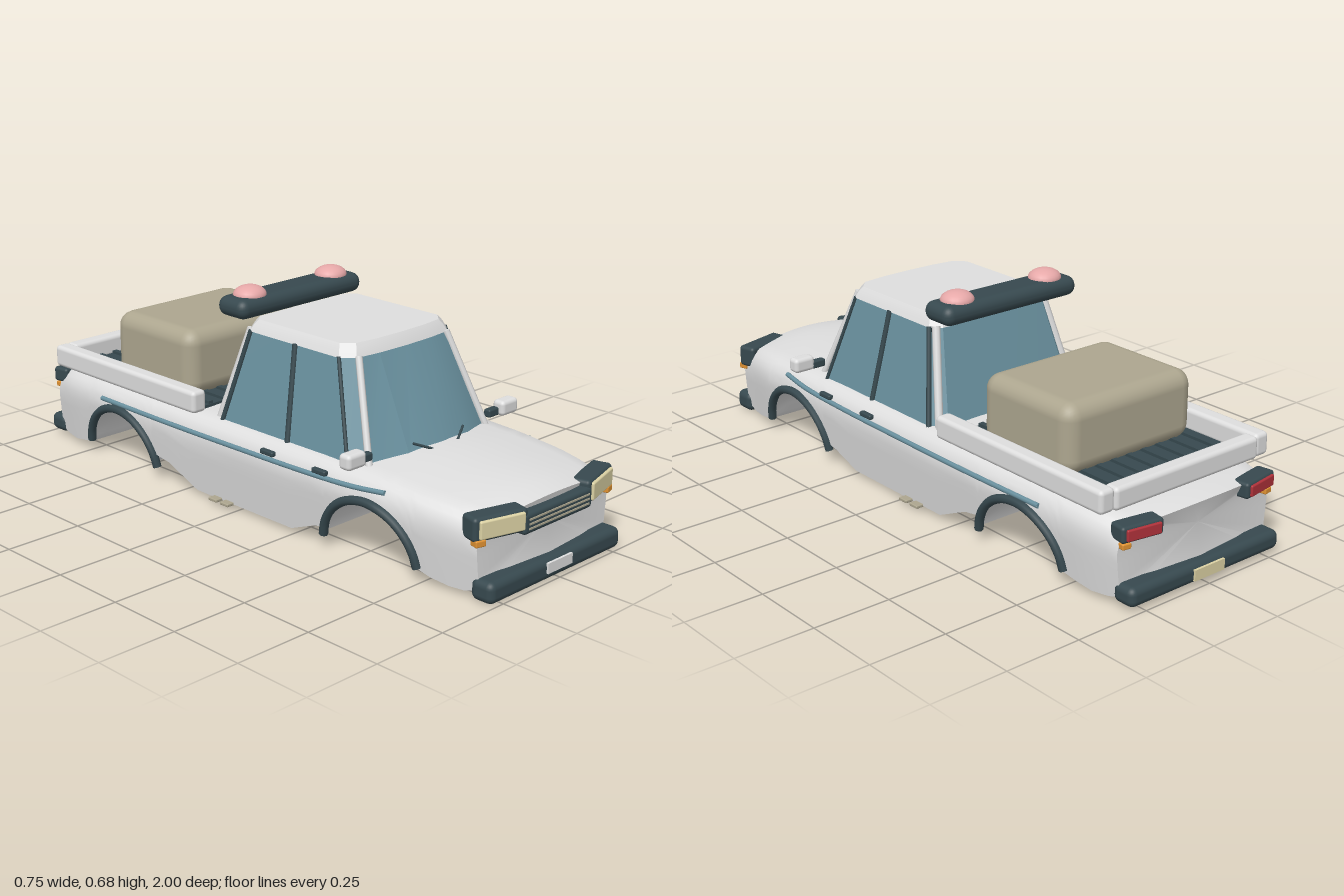
import * as THREE from 'three';
import { toCreasedNormals } from 'three/addons/utils/BufferGeometryUtils.js';
import { RoundedBoxGeometry } from 'three/addons/geometries/RoundedBoxGeometry.js';

const mat = (name, color, side = THREE.FrontSide) => {
  const m = new THREE.MeshStandardMaterial({ color, side });
  m.name = name;
  return m;
};

// Linear interpolation in a table of [key, value] pairs with rising keys
function lookup(table, k) {
  if (k <= table[0][0]) return table[0][1];
  for (let i = 1; i < table.length; i++) {
    const [k0, v0] = table[i - 1], [k1, v1] = table[i];
    if (k <= k1) return v0 + (v1 - v0) * (k - k0) / (k1 - k0);
  }
  return table[table.length - 1][1];
}

// Closes a half outline across x = 0
const mirrorRing = (half) => [...half, ...half.slice(1, -1).reverse().map(([x, y, z]) => [-x, y, z])];

// Skins closed rings that run counter-clockwise about the travel direction
function loft(rings, crease = 0.6) {
  const n = rings[0].length, pos = rings.flat(2), index = [];
  for (let i = 0; i < rings.length - 1; i++) {
    for (let j = 0; j < n; j++) {
      const a = i * n + j, b = i * n + (j + 1) % n;
      index.push(a, b, b + n, a, b + n, a + n);
    }
  }
  [0, rings.length - 1].forEach((r, end) => {
    const c = pos.length / 3;
    for (let k = 0; k < 3; k++) pos.push(rings[r].reduce((s, p) => s + p[k], 0) / n);
    for (let j = 0; j < n; j++) {
      const a = r * n + j, b = r * n + (j + 1) % n;
      index.push(c, end ? a : b, end ? b : a);
    }
  });
  const g = new THREE.BufferGeometry();
  g.setAttribute('position', new THREE.Float32BufferAttribute(pos, 3));
  g.setIndex(index);
  return toCreasedNormals(g, crease);
}

// Body shape rules: shoulder height, crown, plan width and side section
const TOP = [[-0.965, 0.232], [-0.9, 0.25], [-0.7, 0.262], [-0.2, 0.268], [0.35, 0.268], [0.6, 0.261], [0.8, 0.25], [0.9, 0.24], [0.965, 0.222]];
const CROWN = [[-0.965, 0.012], [-0.8, 0.008], [0.2, 0.006], [0.5, 0.025], [0.965, 0.025]];
const WIDTH = [[-0.965, 0.88], [-0.85, 0.94], [-0.65, 0.985], [-0.4, 1], [0.4, 1], [0.6, 0.985], [0.75, 0.95], [0.88, 0.89], [0.965, 0.85]];
const SECTION = [[0, 0.297], [0.012, 0.318], [0.035, 0.335], [0.07, 0.344], [0.12, 0.339], [0.25, 0.323]];
const sideX = (z, y) => lookup(SECTION, lookup(TOP, z) - y) * lookup(WIDTH, z);
const ARCH_Z = 0.56, ARCH_Y = 0.02, ARCH_R = 0.172;

function bodyGeometry() {
  const arch = (zc) => Array.from({ length: 15 }, (_, i) => {
    const a = Math.PI * (0.07 + 0.86 * i / 14);
    return [zc - ARCH_R * Math.cos(a), ARCH_Y + ARCH_R * Math.sin(a)];
  });
  // Lower edge from back to front
  const lower = [[-0.965, 0.03], [-0.92, 0.018], [-0.85, 0.015], [-0.78, 0.025], [-0.738, 0.035], ...arch(-ARCH_Z),
    [-0.38, 0.085], [-0.32, 0.075], [-0.19, 0.015], [0, 0.015], [0.24, 0.015], [0.34, 0.055], [0.38, 0.065],
    ...arch(ARCH_Z), [0.738, 0.04], [0.78, 0.025], [0.85, 0.015], [0.91, 0.015], [0.965, 0.03]];
  return loft(lower.map(([z, b]) => {
    const t = lookup(TOP, z), crown = lookup(CROWN, z), edge = sideX(z, t);
    const half = [[0, b], [sideX(z, b) * 0.8, b]];
    for (let k = 0; k <= 9; k++) {
      const y = b + (t - b) * (1 - (1 - k / 9) ** 1.7);
      half.push([sideX(z, y), y]);
    }
    for (let k = 1; k <= 6; k++) half.push([edge * (1 - k / 6), t + crown * Math.sin(k * Math.PI / 12)]);
    // Bow both ends
    const bow = 0.35 * Math.max(0, (Math.abs(z) - 0.8) / 0.165) * Math.sign(z);
    return mirrorRing(half.map(([x, y]) => [x, y, z - bow * x * x]));
  }));
}

export function createModel() {
  const white = mat('white paint', 0xdedede), dark = mat('dark trim', 0x37494f);
  const glass = mat('blue glass', 0x6a919f), cream = mat('cream lens', 0xdcd2a4);
  const tan = mat('tan cargo', 0xada68f), red = mat('red lens', 0xb0323a);
  const orange = mat('orange lens', 0xe09232), pink = mat('pink lamp', 0xe6a8a8);

  const model = new THREE.Group();
  const add = (name, geo, m, x = 0, y = 0, z = 0, ry = 0) => {
    const mesh = new THREE.Mesh(geo, m);
    mesh.name = name;
    mesh.position.set(x, y, z);
    mesh.rotation.y = ry;
    model.add(mesh);
    return mesh;
  };
  const box = (name, m, [w, h, d], x, y, z, r = 0.01, ry = 0) =>
    add(name, r ? new RoundedBoxGeometry(w, h, d, 3, r) : new THREE.BoxGeometry(w, h, d), m, x, y, z, ry);
  const tube = (name, m, pts, r) => {
    const v = pts.map((p) => new THREE.Vector3(...p));
    const curve = v.length === 2 ? new THREE.LineCurve3(...v) : new THREE.CatmullRomCurve3(v);
    add(name, new THREE.TubeGeometry(curve, v.length === 2 ? 1 : 32, r, 8), m);
    // End discs
    [0, 1].forEach((u) => {
      const disc = add(name + 'End', new THREE.CircleGeometry(r, 8), m, ...curve.getPoint(u).toArray());
      const dir = curve.getTangent(u).multiplyScalar(u ? 1 : -1);
      disc.quaternion.setFromUnitVectors(new THREE.Vector3(0, 0, 1), dir);
    });
  };

  add('body', bodyGeometry(), white);

  // Cab glass and roof share one plan outline
  const base = [[0, 0.56], [0.13, 0.545], [0.25, 0.495], [0.288, 0.44], [0.292, -0.1], [0.25, -0.145], [0, -0.15]];
  const head = [[0, 0.395], [0.11, 0.392], [0.195, 0.382], [0.231, 0.345], [0.231, -0.03], [0.2, -0.058], [0, -0.06]];
  const ring = (pts, y, s = 1) => mirrorRing(pts.map(([x, z]) => [x * s, y, 0.165 + (z - 0.165) * s]));
  add('cabGlass', loft([ring(base, 0.258), ring(head, 0.557)], 0.3), glass);
  add('roof', loft([ring(head, 0.554, 1.015), ring(head, 0.575, 0.97), ring(head, 0.591, 0.92)], 0.3), white);

  for (const s of [1, -1]) {
    // Cab pillars and window frames
    tube('frontPillar', white, [[s * 0.258, 0.262, 0.497], [s * 0.19, 0.558, 0.386]], 0.011);
    tube('rearPillar', white, [[s * 0.273, 0.262, -0.128], [s * 0.216, 0.558, -0.045]], 0.013);
    tube('frontWindowFrame', dark, [[s * 0.289, 0.26, 0.44], [s * 0.231, 0.557, 0.345]], 0.006);
    tube('rearWindowFrame', dark, [[s * 0.292, 0.26, -0.1], [s * 0.231, 0.557, -0.03]], 0.008);
    tube('middlePillar', dark, [[s * 0.291, 0.26, 0.19], [s * 0.232, 0.557, 0.165]], 0.009);
    tube('wiper', dark, [[s * 0.055, 0.284, 0.56], [s * 0.11, 0.307, 0.532]], 0.004);

    // Mirrors
    box('mirror', white, [0.075, 0.048, 0.045], s * 0.338, 0.31, 0.508, 0.013);
    box('mirrorArm', dark, [0.05, 0.026, 0.025], s * 0.283, 0.301, 0.5, 0.006);

    // Wheel arch lips, side moulding, handles and jacking tabs
    for (const zc of [ARCH_Z, -ARCH_Z]) {
      tube('archTrim', dark, Array.from({ length: 13 }, (_, i) => {
        const a = Math.PI * (0.04 + 0.92 * i / 12);
        const y = ARCH_Y + 0.176 * Math.sin(a), z = zc + 0.18 * Math.cos(a);
        return [s * (sideX(z, y) + 0.002), y, z];
      }), 0.014);
    }
    tube('sideMoulding', glass, [[0.62, 0.236], [0.5, 0.227], [0.3, 0.221], [0, 0.217], [-0.3, 0.215], [-0.65, 0.214]]
      .map(([z, y]) => [s * (sideX(z, y) + 0.002), y, z]), 0.008);
    for (const z of [0.375, 0.155]) box('doorHandle', dark, [0.018, 0.016, 0.056], s * 0.338, 0.238, z, 0.005);
    for (const z of [-0.037, -0.09]) box('sillTab', tan, [0.028, 0.01, 0.037], s * 0.335, 0.017, z, 0.003);

    // Corner lights
    box('headlightFrame', dark, [0.18, 0.072, 0.065], s * 0.215, 0.211, 0.932, 0.012, s * 0.27);
    box('headlightLens', cream, [0.15, 0.054, 0.02], s * 0.222, 0.212, 0.962, 0.005, s * 0.27);
    box('frontIndicator', orange, [0.034, 0.02, 0.03], s * 0.287, 0.173, 0.935, 0.004, s * 0.27);
    box('tailLightFrame', dark, [0.14, 0.05, 0.06], s * 0.232, 0.222, -0.937, 0.01, -s * 0.16);
    box('tailLightLens', red, [0.115, 0.034, 0.016], s * 0.236, 0.222, -0.966, 0.004, -s * 0.16);
    box('rearIndicator', orange, [0.03, 0.018, 0.025], s * 0.283, 0.186, -0.942, 0.004, -s * 0.16);

    // Bed side rail and roof lamp
    box('bedRail', white, [0.055, 0.072, 0.715], s * 0.308, 0.306, -0.543, 0.014);
    add('roofLamp', new THREE.SphereGeometry(0.054, 20, 8, 0, Math.PI * 2, 0, Math.PI / 2), pink, s * 0.175, 0.646, -0.096)
      .scale.set(1, 0.58, 0.95);
  }

  // Light bar
  box('lightBar', dark, [0.524, 0.063, 0.125], 0, 0.617, -0.096, 0.03);

  // Grille
  box('grille', dark, [0.305, 0.064, 0.05], 0, 0.197, 0.963, 0.012);
  for (const y of [0.183, 0.197, 0.211]) box('grilleBar', tan, [0.27, 0.005, 0.006], 0, y, 0.988, 0);

  // Bumpers and blank plates
  box('frontBumper', dark, [0.59, 0.066, 0.08], 0, 0.033, 0.954, 0.022);
  box('rearBumper', dark, [0.6, 0.06, 0.08], 0, 0.042, -0.954, 0.022);
  box('frontPlate', white, [0.11, 0.032, 0.008], 0, 0.042, 0.996, 0);
  box('rearPlate', cream, [0.12, 0.034, 0.008], 0, 0.042, -0.996, 0);

  // Load bed and cargo
  box('bedFloor', dark, [0.565, 0.02, 0.65], 0, 0.269, -0.535, 0);
  for (let i = 0; i < 9; i++) box('bedRib', dark, [0.018, 0.01, 0.645], -0.24 + i * 0.06, 0.283, -0.535, 0);
  box('tailRail', white, [0.57, 0.07, 0.052], 0, 0.305, -0.881, 0.014);
  box('cargo', tan, [0.505, 0.22, 0.385], 0, 0.382, -0.487, 0.05);
  return model;
}
